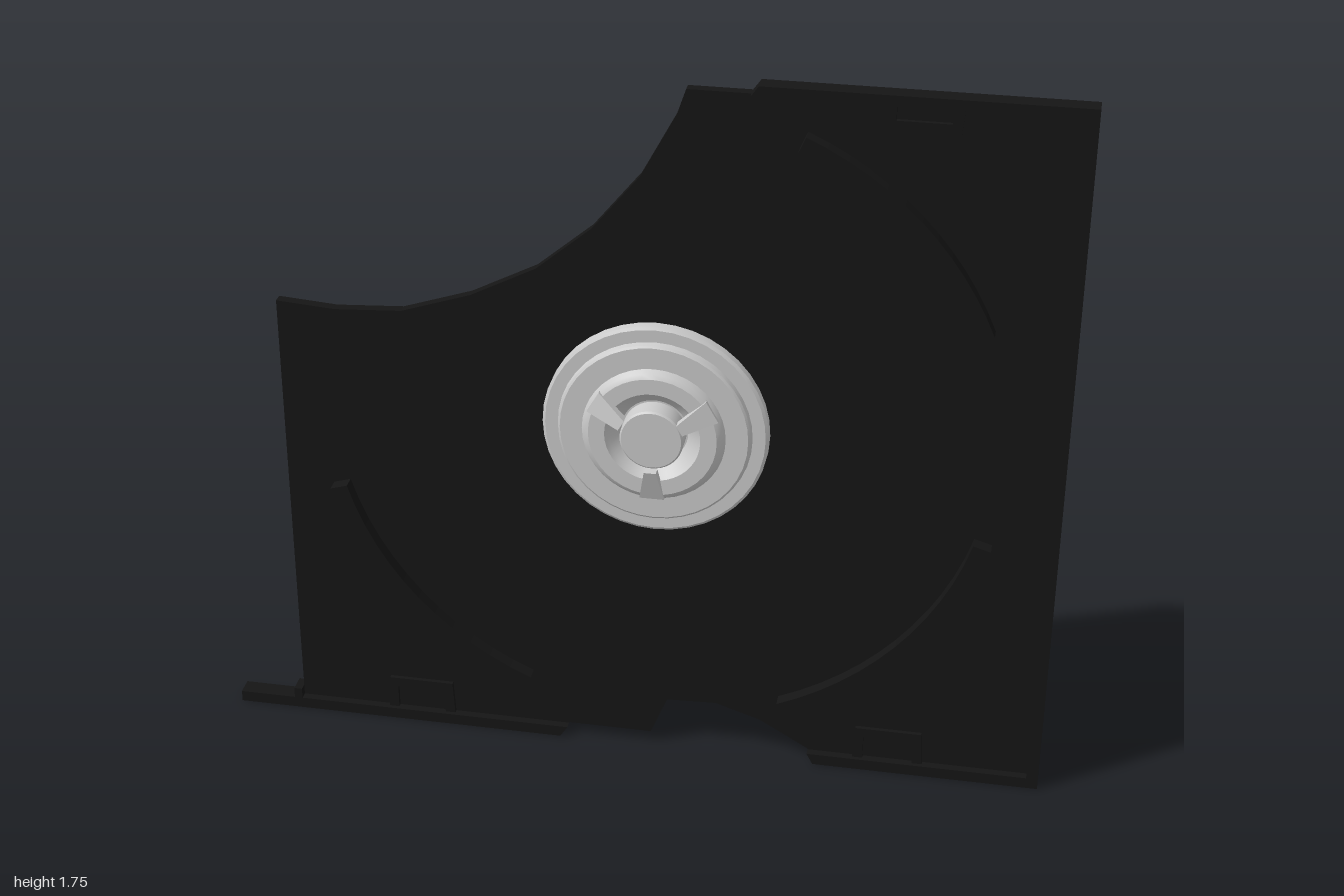
import * as THREE from 'three';
import { toCreasedNormals } from 'three/addons/utils/BufferGeometryUtils.js';

const BACK = -0.055, FLOOR = -0.03, RIM = -0.01;
const HUB = [0.06, 0.89];
const dark = new THREE.MeshStandardMaterial({ color: 0x151515 });
const grey = new THREE.MeshStandardMaterial({ color: 0xcccccc });

function add(parent, name, geometry, material) {
  const mesh = new THREE.Mesh(geometry, material);
  mesh.name = name;
  parent.add(mesh);
  return mesh;
}

// Flat outline extruded between two depths
function slab(points, z0, z1) {
  const shape = new THREE.Shape(points.map(([x, y]) => new THREE.Vector2(x, y)));
  return new THREE.ExtrudeGeometry(shape, { depth: z1 - z0, bevelEnabled: false }).translate(0, 0, z0);
}

const rect = (x0, y0, x1, y1) => [[x0, y0], [x1, y0], [x1, y1], [x0, y1]];

// Curved rail around the hub centre, angles in degrees
function arcRail(a0, a1) {
  const steps = 12, inner = [], outer = [];
  for (let i = 0; i <= steps; i++) {
    const a = THREE.MathUtils.degToRad(a0 + (a1 - a0) * i / steps);
    const at = r => [HUB[0] + r * Math.cos(a), HUB[1] + r * Math.sin(a)];
    outer.push(at(0.82));
    inner.unshift(at(0.777));
  }
  return slab([...outer, ...inner], FLOOR, 0.004);
}

function lathe(profile) {
  const g = new THREE.LatheGeometry(profile.map(([r, z]) => new THREE.Vector2(r, z)), 40);
  return toCreasedNormals(g.rotateX(Math.PI / 2), 0.5);
}

// Wedge tooth: narrow raised tip toward the centre, wide low root outward
function toothGeometry() {
  const g = new THREE.BoxGeometry(1, 1, 1).toNonIndexed();
  const p = g.attributes.position;
  for (let i = 0; i < p.count; i++) {
    const root = p.getY(i) > 0, top = p.getZ(i) > 0;
    p.setXYZ(i, p.getX(i) * (root ? 0.058 : 0.028), root ? 0.16 : 0.078,
      root ? (top ? 0.031 : 0.015) : (top ? 0.058 : 0.035));
  }
  g.computeVertexNormals();
  return g;
}

export function createModel() {
  const model = new THREE.Group();
  model.name = 'discTray';

  // Tray floor with the large corner cut-out and the lower finger notch
  add(model, 'trayFloor', slab([
    [-1, 0], [-0.175, 0], [-0.155, 0.03], [0.05, 0.03], [0.09, 0.13], [0.21, 0.135],
    [0.32, 0.1], [0.44, 0.03], [0.455, 0], [1, 0], [1, 1.745], [0.28, 1.745],
    [0.262, 1.72], [0.12, 1.72], [0.1, 1.66], [0.02, 1.51], [-0.09, 1.375],
    [-0.22, 1.265], [-0.375, 1.185], [-0.54, 1.13], [-0.7, 1.12], [-0.84, 1.13],
    [-0.84, 0.055], [-0.86, 0.055], [-0.86, 0.028], [-1, 0.028],
  ], BACK, FLOOR), dark);

  // Raised rim along the bottom, right and top edges
  add(model, 'bottomLeftRim', slab([[-1, 0], [-0.175, 0], [-0.157, 0.028], [-1, 0.028]], FLOOR, RIM), dark);
  add(model, 'outerRim', slab([
    [0.455, 0], [1, 0], [1, 1.745], [0.28, 1.745], [0.262, 1.72],
    [0.972, 1.72], [0.972, 0.028], [0.44, 0.028],
  ], FLOOR, RIM), dark);
  add(model, 'cornerStop', slab(rect(-0.86, 0.028, -0.84, 0.055), FLOOR, RIM), dark);

  // Curved rails that surround the disc
  [[22.5, 66.5], [196.5, 247], [293, 343.5]].forEach(([a, b]) =>
    add(model, 'discRail', arcRail(a, b), dark));

  // Small U-shaped catches next to the rim
  [[-0.53, 0.028, 1, 0.085], [0.635, 0.028, 1, 0.085], [0.635, 1.72, -1, 0.06]].forEach(([x, y, s, h]) => {
    const outline = [[-0.085, 0], [-0.06, 0], [-0.06, h - 0.025], [0.06, h - 0.025],
      [0.06, 0], [0.085, 0], [0.08, h], [-0.08, h]];
    add(model, 'rimCatch', slab(outline.map(([u, v]) => [x + u, y + s * v]), FLOOR, -0.02), dark);
  });

  // Stepped hub with a conical well
  const hub = new THREE.Group();
  hub.name = 'hub';
  hub.position.set(HUB[0], HUB[1], 0);
  model.add(hub);
  add(hub, 'hubRings', lathe([
    [0.265, FLOOR], [0.265, -0.009], [0.258, -0.004], [0.228, -0.004], [0.225, 0.008],
    [0.22, 0.012], [0.168, 0.012], [0.16, 0.024], [0.15, 0.03], [0.112, 0.03],
    [0.105, 0.02], [0.078, -0.008], [0, -0.008],
  ]), grey);
  add(hub, 'hubButton', lathe([[0.074, -0.01], [0.074, 0.04], [0.07, 0.044], [0, 0.044]]), grey);

  // Three gripping teeth
  const tooth = toothGeometry();
  for (let i = 0; i < 3; i++) {
    add(hub, 'hubTooth', tooth, grey).rotation.z = Math.PI + i * Math.PI * 2 / 3;
  }
  return model;
}
